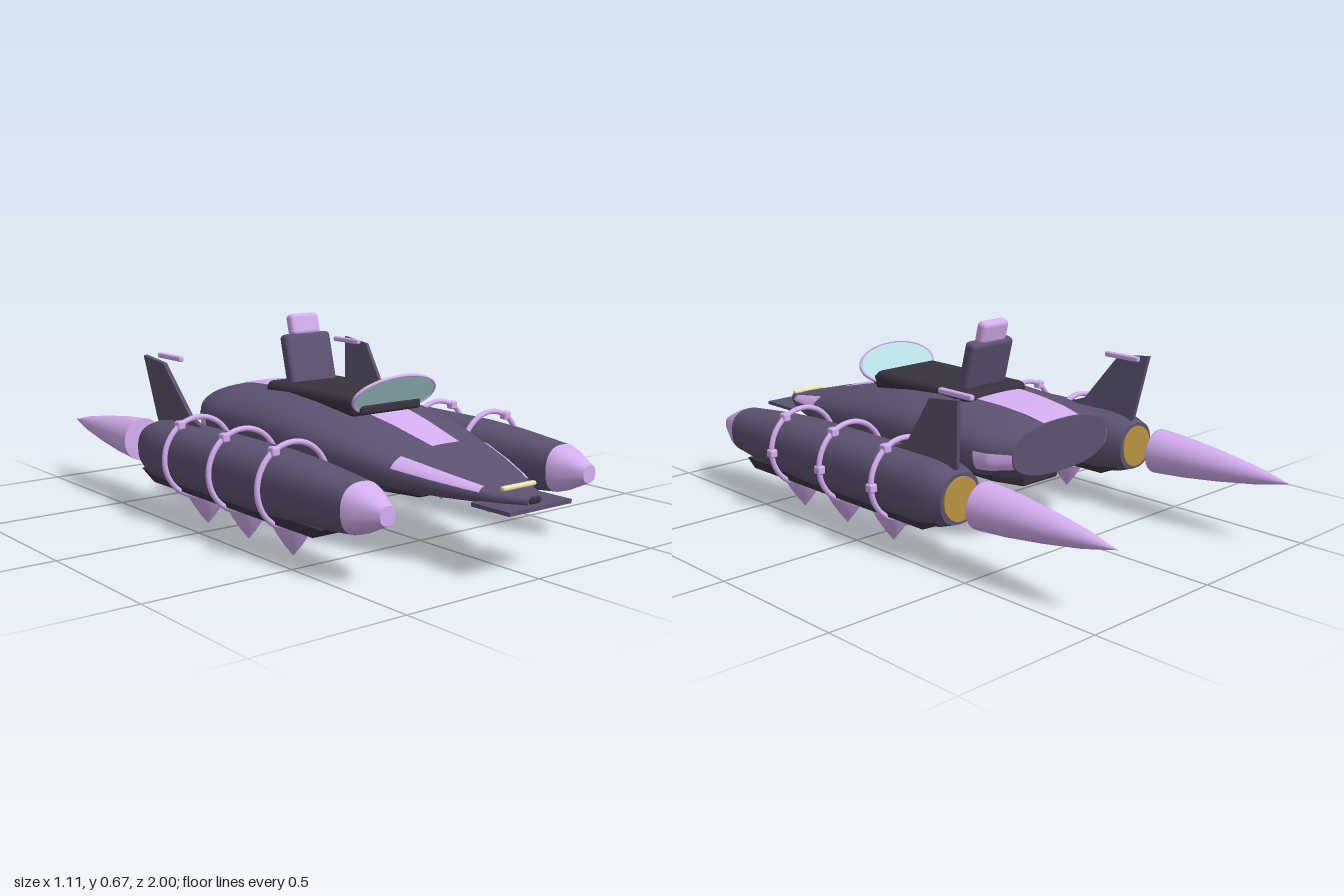
import * as THREE from 'three';
import { RoundedBoxGeometry } from 'three/addons/geometries/RoundedBoxGeometry.js';

const mat = (color) => new THREE.MeshStandardMaterial({ color, side: THREE.DoubleSide });
const M = {
  hull: mat(0x5c5270), dark: mat(0x37323f), pink: mat(0xd4aef0),
  gold: mat(0xb8923f), glass: mat(0xb8dfe4), lamp: mat(0xf0e6a8),
};

function add(parent, name, geometry, material, x = 0, y = 0, z = 0) {
  const mesh = new THREE.Mesh(geometry, material);
  mesh.name = name;
  mesh.position.set(x, y, z);
  parent.add(mesh);
  return mesh;
}
const rbox = (w, h, d, r) => new RoundedBoxGeometry(w, h, d, 3, r);

// Sections are [z, half width, top, bottom], with z rising
const POWER = 0.82;
const soft = (v) => Math.sign(v) * Math.abs(v) ** POWER;
function ringPoint([z, w, top, bottom], a, off = 0) {
  return [
    (w + off) * soft(Math.cos(a)),
    (top + bottom) / 2 + ((top - bottom) / 2 + off) * soft(Math.sin(a)),
    z,
  ];
}

function makeGeometry(pos, idx) {
  const g = new THREE.BufferGeometry();
  g.setAttribute('position', new THREE.Float32BufferAttribute(pos, 3));
  g.setIndex(idx);
  g.computeVertexNormals();
  return g;
}

// Closed loft with flat end caps
function loft(sections, n = 48) {
  const pos = [], idx = [];
  const ring = (s) => {
    for (let j = 0; j < n; j++) pos.push(...ringPoint(s, (j / n) * Math.PI * 2));
  };
  sections.forEach((s, i) => {
    ring(s);
    if (i === 0) return;
    for (let j = 0; j < n; j++) {
      const a = (i - 1) * n + j, b = (i - 1) * n + ((j + 1) % n);
      idx.push(a, b, a + n, b, b + n, a + n);
    }
  });
  for (const [s, front] of [[sections[0], false], [sections.at(-1), true]]) {
    const start = pos.length / 3;
    ring(s);
    pos.push(0, (s[2] + s[3]) / 2, s[0]);
    for (let j = 0; j < n; j++) {
      const a = start + j, b = start + ((j + 1) % n);
      idx.push(start + n, front ? a : b, front ? b : a);
    }
  }
  return makeGeometry(pos, idx);
}

function sectionAt(sections, z) {
  let i = 1;
  while (i < sections.length - 1 && sections[i][0] < z) i++;
  const a = sections[i - 1], b = sections[i];
  const t = (z - a[0]) / (b[0] - a[0]);
  return a.map((v, k) => v + (b[k] - v) * t);
}

// Painted panel lying just above the hull; angles(t) gives its two edges
function panel(sections, z0, z1, angles, rows = 20, cols = 10) {
  const pos = [], idx = [];
  for (let i = 0; i <= rows; i++) {
    const s = sectionAt(sections, z0 + ((z1 - z0) * i) / rows);
    const [a0, a1] = angles(s);
    for (let j = 0; j <= cols; j++) pos.push(...ringPoint(s, a0 + ((a1 - a0) * j) / cols, 0.003));
    if (i === 0) continue;
    for (let j = 0; j < cols; j++) {
      const a = (i - 1) * (cols + 1) + j, b = a + cols + 1;
      idx.push(a, a + 1, b, a + 1, b + 1, b);
    }
  }
  return makeGeometry(pos, idx);
}

const HULL = [
  [-0.42, 0.22, 0.39, 0.22], [-0.35, 0.262, 0.405, 0.2], [-0.25, 0.284, 0.417, 0.19],
  [0, 0.295, 0.43, 0.185], [0.15, 0.292, 0.418, 0.185], [0.3, 0.28, 0.398, 0.185],
  [0.45, 0.255, 0.367, 0.185], [0.6, 0.215, 0.328, 0.187], [0.72, 0.172, 0.3, 0.19],
  [0.82, 0.128, 0.274, 0.196], [0.9, 0.083, 0.252, 0.2], [0.94, 0.058, 0.245, 0.204],
  [0.975, 0.03, 0.238, 0.207],
];
const round = (z, r, y = 0.213) => [z, r, y + r, y - r];
const POD = [
  round(-0.39, 0.08), round(-0.34, 0.097), round(-0.28, 0.104), round(0, 0.105),
  round(0.35, 0.104), round(0.5, 0.096), round(0.62, 0.085), round(0.71, 0.076),
];

function createHull() {
  const g = new THREE.Group();
  g.name = 'hull';
  add(g, 'hullShell', loft(HULL), M.hull);

  // Top stripes, set by half width
  const stripe = (k0, k1, z0, z1) => panel(HULL, z0, z1, (s) => {
    const w = k0 + ((k1 - k0) * (s[0] - z0)) / (z1 - z0);
    const a = Math.acos((w / s[1]) ** (1 / POWER));
    return [a, Math.PI - a];
  });
  add(g, 'rearStripe', stripe(0.08, 0.1, -0.419, -0.13), M.pink);
  add(g, 'frontStripe', stripe(0.08, 0.055, 0.33, 0.61), M.pink);

  // Side panels
  const rad = Math.PI / 180;
  for (const side of [1, -1]) {
    const edges = (lo, hi) => () => side > 0
      ? [lo * rad, hi * rad] : [(180 - hi) * rad, (180 - lo) * rad];
    add(g, 'frontSidePanel', panel(HULL, 0.6, 0.86, edges(12, 42)), M.pink);
    add(g, 'rearSidePanel', panel(HULL, -0.419, -0.3, edges(-22, 4)), M.pink);
  }

  // Keel slab and nose details
  const keel = new THREE.Shape([
    [-0.06, -0.56], [0.06, -0.56], [0.1, -0.42], [0.1, 0.22], [0.07, 0.32],
    [-0.07, 0.32], [-0.1, 0.22], [-0.1, -0.42],
  ].map((p) => new THREE.Vector2(...p)));
  const keelGeo = new THREE.ExtrudeGeometry(keel, {
    depth: 0.025, bevelThickness: 0.008, bevelSize: 0.012, bevelSegments: 2,
  }).rotateX(-Math.PI / 2).rotateY(0);
  keelGeo.scale(1, 1, -1);
  keelGeo.rotateY(Math.PI);
  const index = [...Array(keelGeo.attributes.position.count).keys()];
  for (let i = 0; i < index.length; i += 3) [index[i + 1], index[i + 2]] = [index[i + 2], index[i + 1]];
  keelGeo.setIndex(index);
  add(g, 'keelSlab', keelGeo, M.dark, 0, 0.168, 0);
  add(g, 'noseSplitter', new THREE.BoxGeometry(0.255, 0.012, 0.15), M.hull, 0, 0.207, 0.925);
  add(g, 'noseBumper', rbox(0.056, 0.03, 0.05, 0.013), M.dark, 0, 0.224, 0.953);
  add(g, 'headlamp', rbox(0.135, 0.014, 0.018, 0.006), M.lamp, 0, 0.254, 0.912);
  return g;
}

function createCockpit() {
  const g = new THREE.Group();
  g.name = 'cockpit';
  add(g, 'cockpitTub', rbox(0.28, 0.07, 0.48, 0.025), M.dark, 0, 0.41, 0.1);
  add(g, 'dashboard', rbox(0.25, 0.035, 0.035, 0.012), M.dark, 0, 0.407, 0.345);

  // Seat leaning back
  const seat = new THREE.Group();
  seat.name = 'seat';
  seat.position.set(0, 0.43, -0.055);
  seat.rotation.x = -0.25;
  add(seat, 'seatBack', rbox(0.19, 0.18, 0.045, 0.015), M.hull, 0, 0.085, 0);
  add(seat, 'headrest', rbox(0.118, 0.075, 0.04, 0.015), M.pink, 0, 0.205, 0);
  g.add(seat);

  // Oval windscreen leaning forward
  const screen = new THREE.Group();
  screen.name = 'windscreen';
  screen.position.set(0, 0.447, 0.372);
  screen.rotation.x = 0.57;
  const oval = new THREE.Shape().absellipse(0, 0, 0.165, 0.078, 0, Math.PI * 2);
  add(screen, 'glass', new THREE.ExtrudeGeometry(oval, { depth: 0.006, bevelEnabled: false, curveSegments: 32 }), M.glass, 0, 0, -0.003);
  add(screen, 'rim', new THREE.TorusGeometry(1, 0.035, 8, 56).scale(0.165, 0.078, 0.17), M.pink);
  g.add(screen);
  return g;
}

function createPod(side) {
  const g = new THREE.Group();
  g.name = side > 0 ? 'leftPod' : 'rightPod';
  g.position.x = side * 0.413;
  add(g, 'podBody', loft(POD), M.hull);
  add(g, 'podNose', loft([round(0.709, 0.0765), round(0.74, 0.067), round(0.822, 0.028)]), M.pink);
  add(g, 'nozzle', new THREE.CylinderGeometry(0.07, 0.07, 0.02, 32).rotateX(Math.PI / 2), M.gold, 0, 0.213, -0.386);

  // Exhaust flame behind the nozzle
  const flame = [[0, 0], [0.075, 0], [0.075, 0.004], [0.066, 0.12], [0.05, 0.25], [0.028, 0.39], [0, 0.51]]
    .map((p) => new THREE.Vector2(...p));
  add(g, 'exhaustFlame', new THREE.LatheGeometry(flame, 32).rotateX(-Math.PI / 2), M.pink, 0, 0.216, -0.49);

  // Skid
  const skid = new THREE.Shape([[-0.38, 0.145], [-0.3, 0.11], [0.58, 0.11], [0.62, 0.14]]
    .map(([z, y]) => new THREE.Vector2(-z, y)));
  add(g, 'skid', new THREE.ExtrudeGeometry(skid, { depth: 0.145, bevelEnabled: false }).translate(0, 0, -0.0725).rotateY(Math.PI / 2), M.dark);

  // Hoops with clamps, and thruster cones below
  const cone = [[0, 0], [0.025, 0.032], [0.05, 0.07], [0.066, 0.1], [0.068, 0.112], [0, 0.112]]
    .map((p) => new THREE.Vector2(...p));
  for (const z of [0.39, 0.13, -0.13]) {
    add(g, 'hoop', new THREE.TorusGeometry(0.131, 0.009, 10, 48), M.pink, 0, 0.219, z);
    add(g, 'upperClamp', rbox(0.028, 0.028, 0.03, 0.006), M.pink, side * 0.07, 0.33, z);
    add(g, 'sideClamp', rbox(0.028, 0.028, 0.03, 0.006), M.pink, 0.129, 0.215, z);
  }
  for (const z of [0.39, 0.155, -0.08]) add(g, 'thrusterCone', new THREE.LatheGeometry(cone, 28), M.pink, 0, 0, z);

  // Tail fin leaning outward, with a small marker rod beside it
  const fin = new THREE.Shape([
    [0.05, -0.04], [0.08, 0], [0.16, 0.03], [0.29, 0.2], [0.415, 0.215], [0.38, 0], [0.36, -0.04],
  ].map((p) => new THREE.Vector2(...p)));
  const finMesh = add(g, 'tailFin', new THREE.ExtrudeGeometry(fin, { depth: 0.014, bevelEnabled: false })
    .translate(0, 0, -0.007).rotateY(Math.PI / 2), M.hull, 0, 0.313, 0);
  finMesh.rotation.z = -side * 0.13;
  add(g, 'markerRod', rbox(0.018, 0.018, 0.145, 0.006), M.pink, -side * 0.028, 0.522, -0.343);
  return g;
}

export function createModel() {
  const model = new THREE.Group();
  model.name = 'speeder';
  model.add(createHull(), createCockpit(), createPod(1), createPod(-1));
  return model;
}
